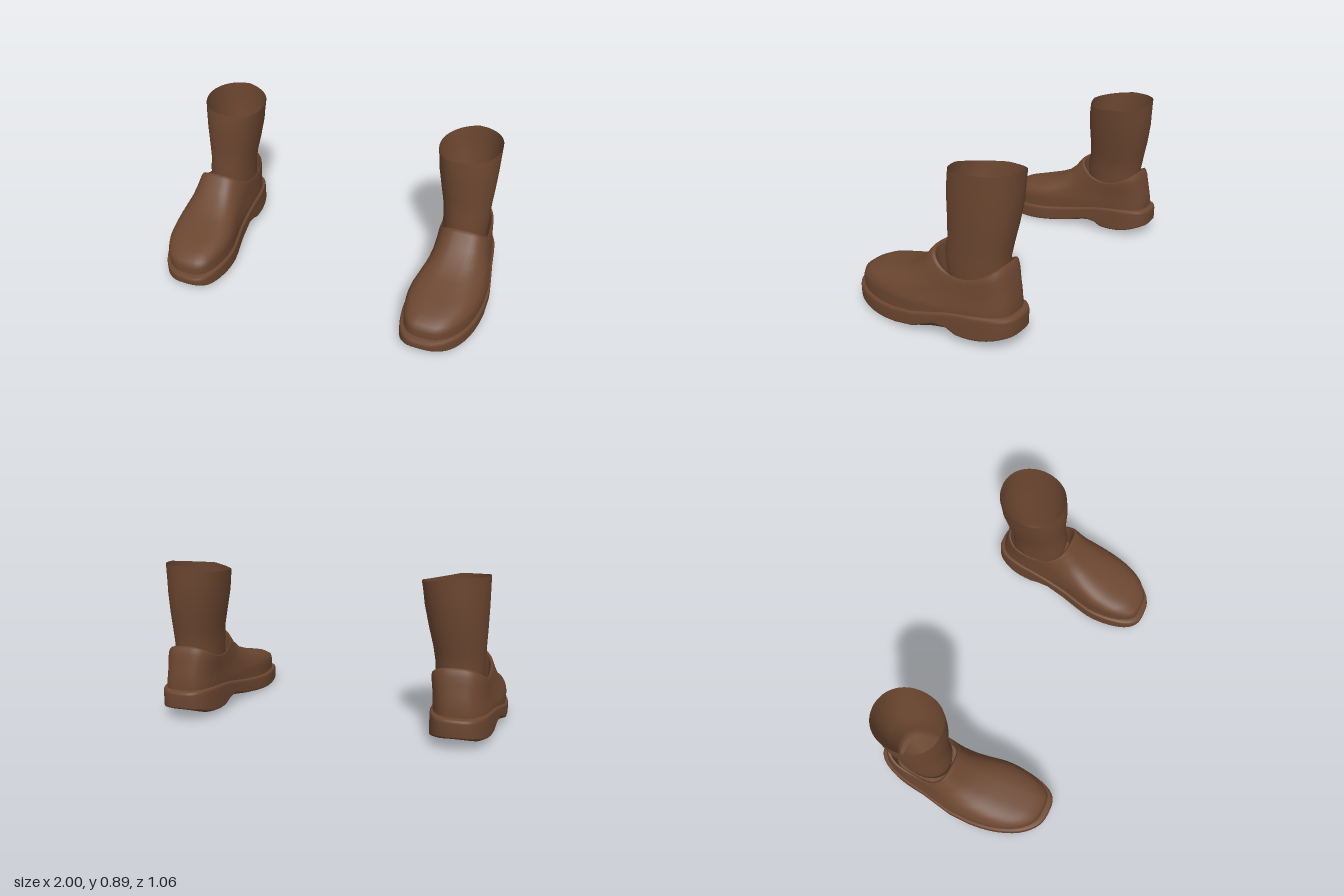
import * as THREE from 'three';

const SEG = 56;

// Smooth lookup through [position, value] points in rising order
function curve(pts) {
  const n = pts.length;
  const slope = (i) => {
    const a = pts[Math.max(i - 1, 0)], b = pts[Math.min(i + 1, n - 1)];
    return (b[1] - a[1]) / (b[0] - a[0]);
  };
  return (x) => {
    if (x <= pts[0][0]) return pts[0][1];
    if (x >= pts[n - 1][0]) return pts[n - 1][1];
    let i = 0;
    while (x > pts[i + 1][0]) i++;
    const [x0, y0] = pts[i], [x1, y1] = pts[i + 1], h = x1 - x0, t = (x - x0) / h;
    return y0 + (y1 - y0) * t * t * (3 - 2 * t)
      + h * t * (1 - t) * ((1 - t) * slope(i) - t * slope(i + 1));
  };
}

// Foot outline: centre line and half width along the length
const mid = curve([[-0.53, 0.78], [-0.2, 0.792], [0, 0.8], [0.2, 0.773], [0.4, 0.747], [0.53, 0.72]]);
const half = curve([[-0.53, 0.183], [-0.4, 0.182], [-0.2, 0.178], [0, 0.198], [0.2, 0.217], [0.4, 0.207], [0.53, 0.19]]);
// Heights along the length: welt top, outer bottom edge and tread centre
const welt = curve([[-0.53, 0.17], [-0.35, 0.165], [-0.2, 0.15], [0, 0.11], [0.2, 0.09], [0.53, 0.088]]);
const edge = curve([[-0.53, 0.075], [-0.38, 0.045], [-0.24, 0.045], [-0.21, 0.06], [-0.16, 0.095],
  [-0.08, 0.06], [0.05, 0.03], [0.25, 0.012], [0.45, 0.018], [0.53, 0.04]]);
const tread = curve([[-0.5, 0.06], [-0.39, 0.01], [-0.23, 0.008], [-0.15, 0.04], [0, 0.018],
  [0.25, 0], [0.45, 0.01], [0.53, 0.035]]);

const power = (v, p) => Math.sign(v) * Math.pow(Math.abs(v), p);

// Skin through closed rings listed from the bottom up, with optional flat caps
function loft(rings, side, capStart, capEnd) {
  const pos = [], idx = [];
  const tri = (a, b, c) => (side > 0 ? idx.push(a, b, c) : idx.push(a, c, b));
  const add = (p) => pos.push(p[0] * side, p[1], p[2]);
  rings.forEach((r) => r.forEach(add));
  for (let i = 0; i + 1 < rings.length; i++) {
    for (let j = 0; j < SEG; j++) {
      const k = (j + 1) % SEG, a = i * SEG + j, b = i * SEG + k;
      tri(a, a + SEG, b);
      tri(b, a + SEG, b + SEG);
    }
  }
  const cap = (row, up) => {
    const c = pos.length / 3, r = rings[row];
    add([0, 1, 2].map((q) => r.reduce((s, p) => s + p[q], 0) / SEG));
    for (let j = 0; j < SEG; j++) {
      const a = row * SEG + j, b = row * SEG + (j + 1) % SEG;
      if (up) tri(a, c, b); else tri(a, b, c);
    }
  };
  if (capStart) cap(0, false);
  if (capEnd) cap(rings.length - 1, true);
  const g = new THREE.BufferGeometry();
  g.setAttribute('position', new THREE.Float32BufferAttribute(pos, 3));
  g.setIndex(idx);
  g.computeVertexNormals();
  return g;
}

// Rounded foot-shaped ring; height(z, s, c) takes the length and the two -1..1 coordinates
function footRing(front, back, scale, shift, height) {
  const zc = (front + back) / 2, len = (front - back) / 2;
  return Array.from({ length: SEG }, (_, j) => {
    const a = (j / SEG) * Math.PI * 2;
    const c = power(Math.cos(a), 0.66), s = power(Math.sin(a), 0.66);
    const z = zc + len * s;
    return [mid(z) - shift + half(z) * scale * c, height(z, s, c), z];
  });
}

// Sole with a heel step, raised arch edges and a rounded welt
function soleGeometry(side) {
  const low = (z, c) => edge(z) - Math.max(0, -c) * 0.35 * (edge(z) - tread(z));
  const ring = (k, h) => footRing(0.53 * k, -0.53 * k, k, 0, h);
  return loft([
    ring(0.3, (z) => tread(z)),
    ring(0.6, (z) => tread(z)),
    ring(0.85, (z, s, c) => tread(z) * 0.6 + low(z, c) * 0.4),
    ring(0.975, (z, s, c) => low(z, c) - 0.003),
    ring(0.99, (z, s, c) => low(z, c)),
    ring(1, (z, s, c) => low(z, c) + 0.008),
    ring(1, (z) => welt(z) - 0.018),
    ring(0.995, (z) => welt(z) - 0.005),
    ring(0.98, (z) => welt(z)),
    ring(0.92, (z) => welt(z) + 0.008),
    ring(0.6, (z) => welt(z)),
  ], side, true, true);
}

// Upper: [front z, back z, width, front y, side y, back y], ending in the lining
const UPPER = [
  [0.497, -0.498, 0.94, 0.135, 0.16, 0.19],
  [0.482, -0.496, 0.93, 0.173, 0.18, 0.22],
  [0.42, -0.492, 0.91, 0.205, 0.2, 0.25],
  [0.32, -0.487, 0.885, 0.231, 0.225, 0.28],
  [0.2, -0.48, 0.865, 0.265, 0.25, 0.31],
  [0.1, -0.474, 0.85, 0.305, 0.275, 0.34],
  [0.02, -0.466, 0.84, 0.37, 0.305, 0.38],
  [-0.035, -0.455, 0.83, 0.437, 0.33, 0.41],
  [-0.053, -0.445, 0.81, 0.45, 0.34, 0.421],
  [-0.064, -0.435, 0.78, 0.435, 0.333, 0.41],
  [-0.072, -0.43, 0.76, 0.25, 0.2, 0.2],
];
function upperGeometry(side) {
  const rings = [footRing(0.495, -0.498, 0.93, 0, (z) => welt(z) - 0.005)];
  UPPER.forEach(([f, b, w, yf, ys, yb], i) => rings.push(
    footRing(f, b, w, 0.002 * i, (z, s) => ys + ((s > 0 ? yf : yb) - ys) * s * s)));
  return loft(rings, side, false, false);
}

// Shaft: [y, inner x, outer x, front z, back z], flaring towards a slanted open top
const SHAFT = [
  [0.17, 0.65, 0.885, -0.11, -0.43],
  [0.3, 0.64, 0.895, -0.095, -0.43],
  [0.42, 0.635, 0.9, -0.082, -0.432],
  [0.5, 0.625, 0.9, -0.1, -0.447],
  [0.6, 0.602, 0.905, -0.1, -0.467],
  [0.72, 0.577, 0.909, -0.096, -0.485],
  [0.8, 0.567, 0.91, -0.1, -0.488],
  [0.885, 0.56, 0.911, -0.107, -0.492],
];
function shaftGeometry(side) {
  return loft(SHAFT.map(([y, x0, x1, z0, z1], i) => Array.from({ length: SEG }, (_, j) => {
    const a = (j / SEG) * Math.PI * 2, c = power(Math.cos(a), 0.92), s = power(Math.sin(a), 0.92);
    const dip = i === SHAFT.length - 1 ? Math.max(0, -c) * 0.04 + Math.max(0, s) * 0.025 : 0;
    return [(x0 + x1) / 2 + c * (x1 - x0) / 2, y - dip, (z0 + z1) / 2 + s * (z0 - z1) / 2];
  })), side, true, false);
}

export function createModel() {
  const leather = new THREE.MeshStandardMaterial({ color: 0x6b4630, side: THREE.DoubleSide });
  leather.name = 'brown leather';
  const model = new THREE.Group();
  model.name = 'pairOfBoots';
  for (const side of [1, -1]) {
    const boot = new THREE.Group();
    boot.name = side > 0 ? 'leftBoot' : 'rightBoot';
    const parts = { sole: soleGeometry, upper: upperGeometry, shaft: shaftGeometry };
    for (const [name, build] of Object.entries(parts)) {
      const mesh = new THREE.Mesh(build(side), leather);
      mesh.name = name;
      boot.add(mesh);
    }
    model.add(boot);
  }
  return model;
}
